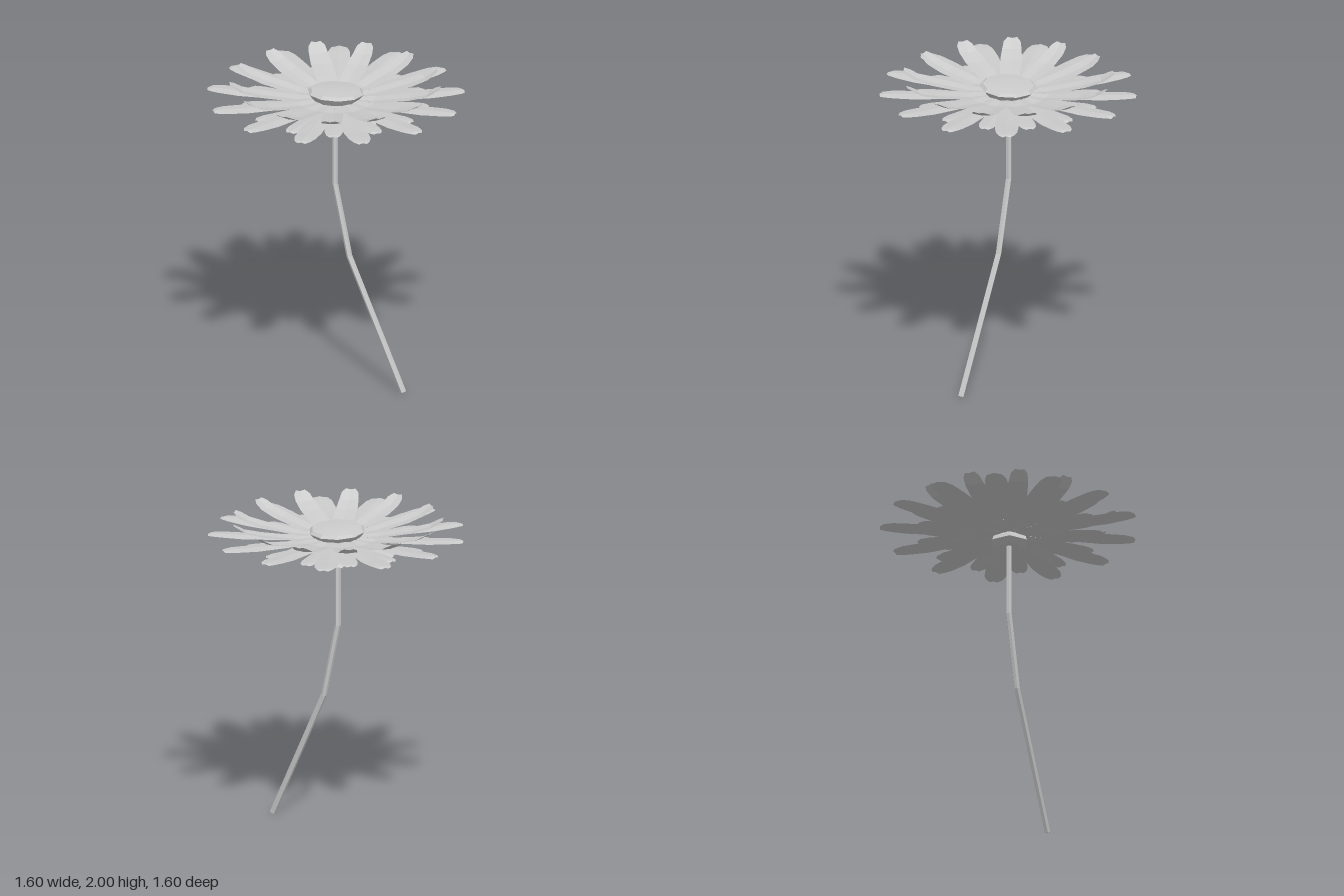
import * as THREE from 'three';

const material = new THREE.MeshStandardMaterial({
  color: 0xcccccc, flatShading: true, side: THREE.DoubleSide,
});

// One petal swept outward through stations of [radius, height, width], lightly creased down its middle
function petalGeometry(stations, crease) {
  const positions = [], index = [];
  stations.forEach(([r, y, width], i) => {
    for (let j = -1; j <= 1; j++) {
      positions.push(j * width / 2, j === 0 ? y + crease : y, r);
    }
    if (i === 0) return;
    for (let j = 0; j < 2; j++) {
      const a = (i - 1) * 3 + j, b = a + 3;
      index.push(a, b, a + 1, b, b + 1, a + 1);
    }
  });
  const geometry = new THREE.BufferGeometry();
  geometry.setAttribute('position', new THREE.Float32BufferAttribute(positions, 3));
  geometry.setIndex(index);
  geometry.computeVertexNormals();
  return geometry;
}

// A ring of equal petals; the phase is measured from +z towards +x
function petalRing(name, count, phase, stations, crease) {
  const ring = new THREE.Group();
  ring.name = name;
  const geometry = petalGeometry(stations, crease);
  for (let i = 0; i < count; i++) {
    const petal = new THREE.Mesh(geometry, material);
    petal.name = 'petal';
    petal.rotation.y = phase + (i / count) * Math.PI * 2;
    ring.add(petal);
  }
  return ring;
}

function lathe(name, profile, sides) {
  const points = profile.map(([r, y]) => new THREE.Vector2(r, y));
  const mesh = new THREE.Mesh(new THREE.LatheGeometry(points, sides), material);
  mesh.name = name;
  return mesh;
}

// Bent stem: a six-sided cylinder whose rings follow joints of [x, y, tilt], bottom to top
function stemMesh() {
  const joints = [[0.49, 0.008, 0.44], [0.1, 0.84, 0.32], [-0.005, 1.31, 0.11], [-0.005, 1.8, 0]];
  const geometry = new THREE.CylinderGeometry(0.019, 0.019, 3, 6, 3);
  const p = geometry.attributes.position;
  for (let i = 0; i < p.count; i++) {
    const [x, y, tilt] = joints[Math.round(p.getY(i) + 1.5)];
    const offset = p.getX(i);
    p.setXY(i, x + offset * Math.cos(tilt), y + offset * Math.sin(tilt));
  }
  geometry.computeVertexNormals();
  const mesh = new THREE.Mesh(geometry, material);
  mesh.name = 'stem';
  return mesh;
}

export function createModel() {
  const flower = new THREE.Group();
  flower.name = 'flower';
  flower.add(stemMesh());

  // Upturned upper petals
  flower.add(petalRing('upperPetals', 13, 0, [
    [0.02, 1.89, 0.01], [0.25, 1.892, 0.125], [0.33, 1.905, 0.13], [0.47, 1.927, 0.135],
    [0.58, 1.955, 0.12], [0.63, 1.983, 0.105], [0.66, 2, 0.06],
  ], -0.006));

  // Long, nearly flat middle petals
  flower.add(petalRing('middlePetals', 13, Math.PI + 0.025, [
    [0.02, 1.875, 0.01], [0.25, 1.882, 0.122], [0.4, 1.885, 0.135], [0.6, 1.893, 0.15],
    [0.72, 1.902, 0.135], [0.78, 1.904, 0.1], [0.805, 1.9, 0.05],
  ], 0.006));

  // Short flat lower petals
  flower.add(petalRing('lowerPetals', 13, 0.03, [
    [0.02, 1.855, 0.01], [0.22, 1.857, 0.105], [0.35, 1.858, 0.115],
    [0.5, 1.863, 0.115], [0.56, 1.864, 0.09], [0.585, 1.86, 0.045],
  ], 0.005));

  // Drooping sepals under the petals
  flower.add(petalRing('sepals', 5, 0, [
    [0.02, 1.855, 0.03], [0.12, 1.847, 0.1], [0.22, 1.835, 0.13],
    [0.31, 1.81, 0.11], [0.37, 1.79, 0.05],
  ], 0.006));

  // Domed flower centre, leaning slightly back
  const disc = lathe('flowerCentre', [
    [0.14, -0.035], [0.178, 0.01], [0.16, 0.028], [0.08, 0.034], [0, 0.036],
  ], 10);
  disc.position.y = 1.915;
  disc.rotation.x = -0.06;
  flower.add(disc);

  // Cup joining the stem to the flower head
  flower.add(lathe('cup', [
    [0, 1.77], [0.07, 1.77], [0.125, 1.793], [0.115, 1.82], [0.04, 1.86],
  ], 6));

  return flower;
}
